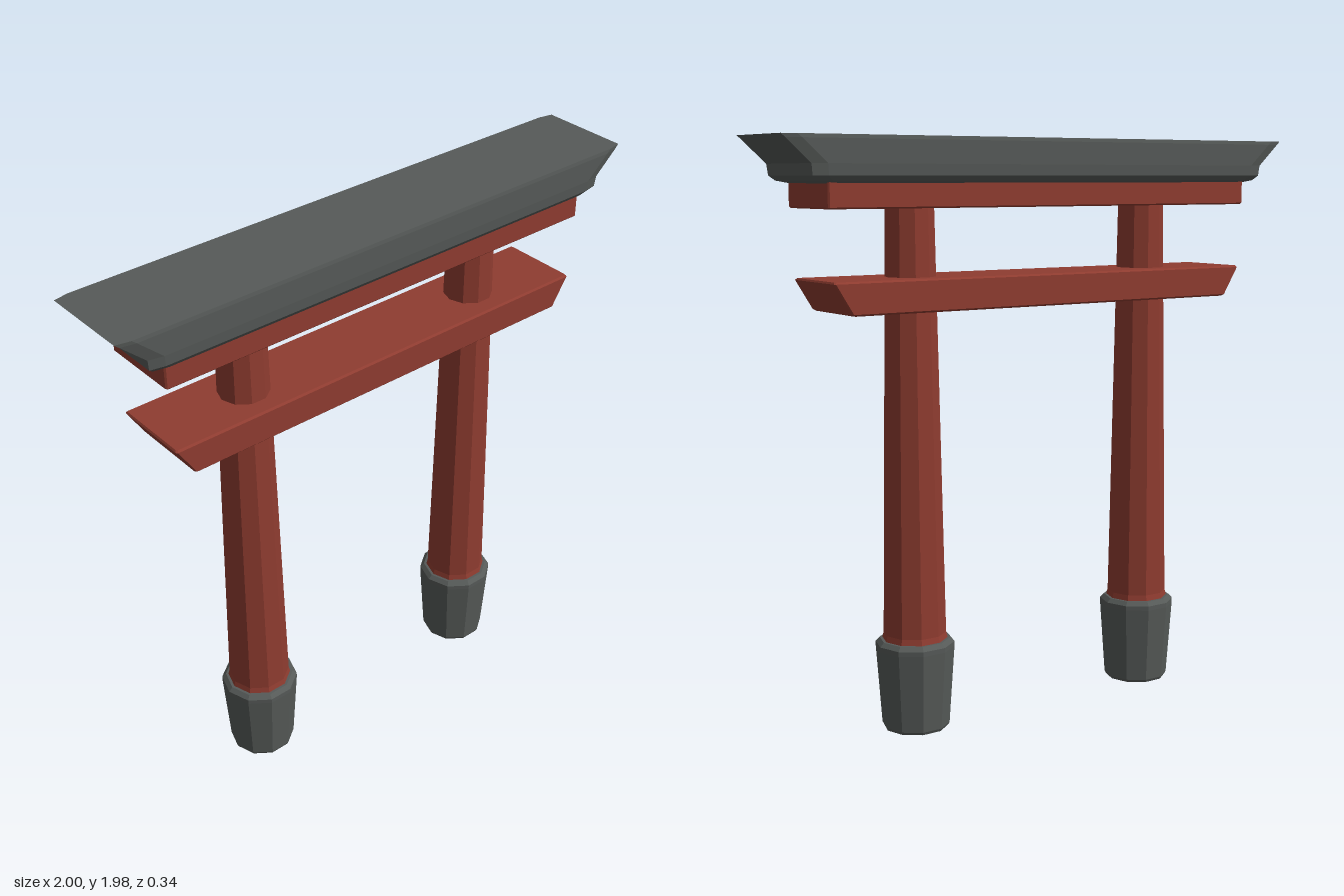
import * as THREE from 'three';

const red = new THREE.MeshStandardMaterial({ color: 0x8f3c30, flatShading: true });
const slate = new THREE.MeshStandardMaterial({ color: 0x565a58, flatShading: true });

// Stack chamfered rectangles [y, halfX, halfZ] into a closed solid
function loft(rows, cx, cz) {
  const pos = [], idx = [], n = 8;
  for (const [y, hx, hz] of rows) {
    const a = hx - cx, b = hz - cz;
    for (const [x, z] of [[hx, b], [hx, -b], [a, -hz], [-a, -hz], [-hx, -b], [-hx, b], [-a, hz], [a, hz]]) {
      pos.push(x, y, z);
    }
  }
  for (let r = 0; r < rows.length - 1; r++) {
    for (let i = 0; i < n; i++) {
      const a = r * n + i, b = r * n + (i + 1) % n;
      idx.push(a, b, b + n, a, b + n, a + n);
    }
  }
  const top = (rows.length - 1) * n;
  for (let i = 1; i < n - 1; i++) {
    idx.push(0, i + 1, i, top, top + i, top + i + 1);
  }
  const g = new THREE.BufferGeometry();
  g.setAttribute('position', new THREE.Float32BufferAttribute(pos, 3));
  g.setIndex(idx);
  g.computeVertexNormals();
  return g;
}

// Ten-sided turned solid from [radius, y] points
function turned(points) {
  return new THREE.LatheGeometry(points.map(([r, y]) => new THREE.Vector2(r, y)), 10, Math.PI / 2);
}

export function createModel() {
  const model = new THREE.Group();
  model.name = 'gateway';
  const add = (name, geometry, material, x = 0) => {
    const mesh = new THREE.Mesh(geometry, material);
    mesh.name = name;
    mesh.position.x = x;
    model.add(mesh);
  };

  // Tapered pillars in stone feet
  const foot = turned([[0, 0], [0.11, 0], [0.115, 0.01], [0.134, 0.28], [0.134, 0.296], [0.12, 0.31], [0, 0.31]]);
  const pillar = turned([[0, 0.29], [0.113, 0.3], [0.106, 0.33], [0.08, 1.76], [0, 1.76]]);
  for (const [side, x] of [['left', 0.477], ['right', -0.477]]) {
    add(side + 'Foot', foot, slate, x);
    add(side + 'Pillar', pillar, red, x);
  }

  // Lower tie beam with slanted ends
  add('tieBeam', loft([
    [1.42, 0.753, 0.134], [1.426, 0.764, 0.14], [1.522, 0.824, 0.14], [1.528, 0.82, 0.134],
  ], 0.005, 0.005), red);

  // Straight beam under the lintel
  add('upperBeam', loft([
    [1.75, 0.834, 0.135], [1.755, 0.839, 0.14], [1.835, 0.839, 0.14],
  ], 0.005, 0.005), red);

  // Dark lintel with flared ends and a rounded lower edge
  add('lintel', loft([
    [1.828, 0.84, 0.138], [1.836, 0.88, 0.154], [1.852, 0.898, 0.166],
    [1.888, 0.902, 0.169], [1.963, 0.985, 0.169], [1.975, 1, 0.167],
  ], 0.05, 0.01), slate);

  return model;
}
